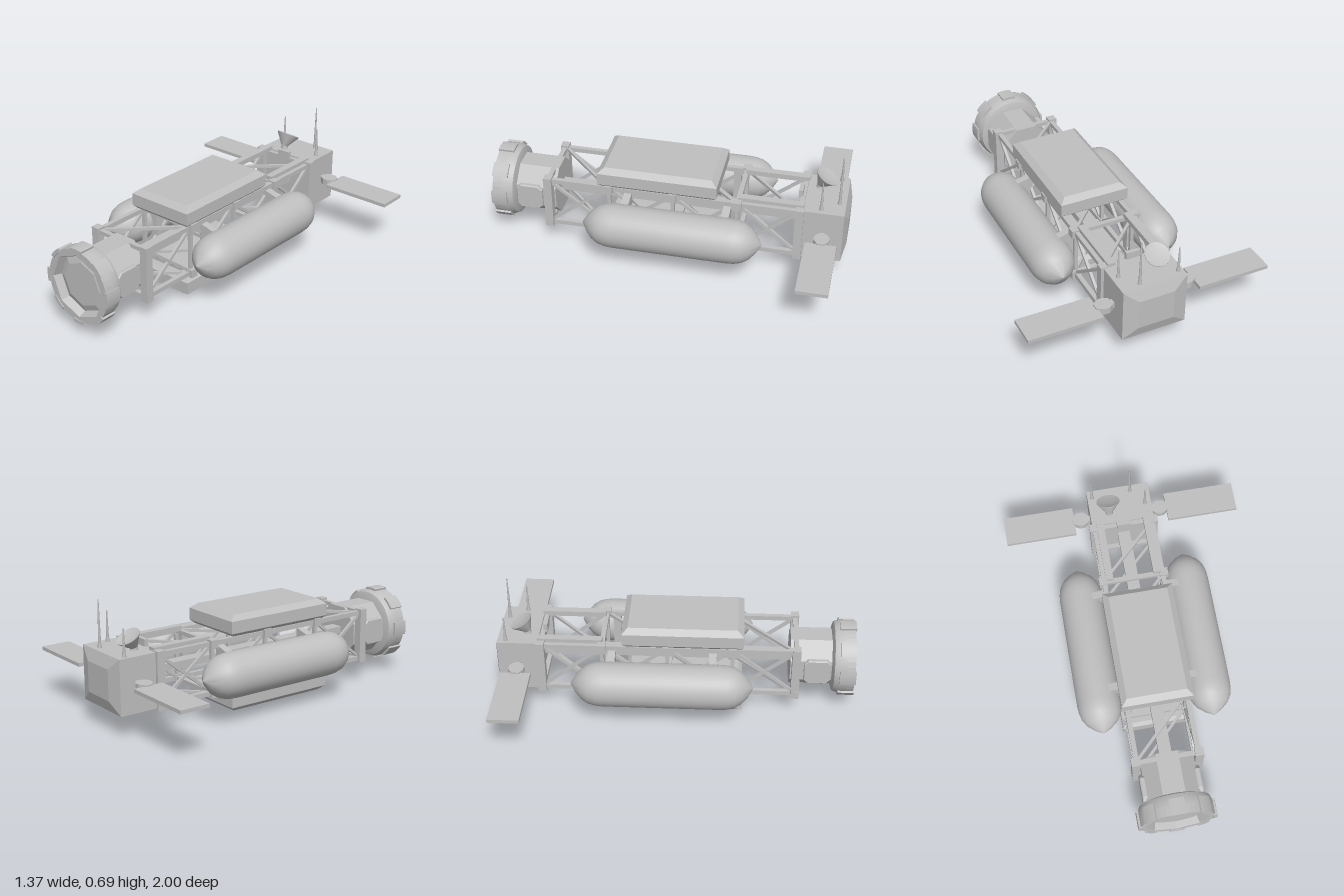
import * as THREE from 'three';
import { toCreasedNormals } from 'three/addons/utils/BufferGeometryUtils.js';
import { ConvexGeometry } from 'three/addons/geometries/ConvexGeometry.js';

const V = (x, y, z) => new THREE.Vector3(x, y, z);
const CY = 0.278; // height of the long axis

export function createModel() {
  const root = new THREE.Group();
  root.name = 'spacecraft';
  const hull = new THREE.MeshStandardMaterial({ color: 0xbfbfbf });
  hull.name = 'hull grey';

  const add = (name, geo, x = 0, y = 0, z = 0) => {
    const m = new THREE.Mesh(geo, hull);
    m.name = name;
    m.position.set(x, y, z);
    root.add(m);
    return m;
  };
  const box = (name, w, h, d, x, y, z) => add(name, new THREE.BoxGeometry(w, h, d), x, y, z);
  // square bar between two points
  const bar = (name, a, b, t) => {
    const m = add(name, new THREE.BoxGeometry(t, t, a.distanceTo(b)));
    m.position.copy(a).add(b).multiplyScalar(0.5);
    m.lookAt(b);
  };
  // lathe around the z axis; profile is [radius, z]
  const latheZ = (profile, n, start = 0, crease = 0.5) => toCreasedNormals(
    new THREE.LatheGeometry(profile.map(p => new THREE.Vector2(...p)), n, start).rotateX(Math.PI / 2), crease);
  // convex solid from rectangles [halfX, y, zMin, zMax]
  const stack = levels => new ConvexGeometry(levels.flatMap(([w, y, a, b]) =>
    [V(-w, y, a), V(w, y, a), V(w, y, b), V(-w, y, b)]));

  // docking ring
  add('dockingRingBody', latheZ([[0, 0.87], [0.16, 0.87], [0.195, 0.882], [0.207, 0.915], [0.207, 0.95]], 40), 0, CY);
  const rim = new THREE.Shape().absarc(0, 0, 0.207, 0, Math.PI * 2);
  const hole = new THREE.Path();
  for (let i = 0; i < 8; i++) {
    const a = -i * Math.PI / 4;
    hole[i ? 'lineTo' : 'moveTo'](0.18 * Math.cos(a), 0.18 * Math.sin(a));
  }
  hole.closePath();
  rim.holes.push(hole);
  add('dockingRingRim', new THREE.ExtrudeGeometry(rim, { depth: 0.045, bevelEnabled: false, curveSegments: 20 }), 0, CY, 0.95);
  add('dockingHatch', latheZ([[0.18, 0.995], [0.162, 0.952], [0.125, 0.965], [0, 0.965]], 8, 0, 0.1), 0, CY);
  for (let i = 0; i < 8; i++) {
    const a = i * Math.PI / 4, s = new THREE.Shape();
    s.absarc(0, 0, 0.218, a - 0.19, a + 0.19, false);
    s.absarc(0, 0, 0.198, a + 0.19, a - 0.19, true);
    add('dockingClamp', new THREE.ExtrudeGeometry(s, { depth: 0.09, bevelEnabled: false, curveSegments: 4 }), 0, CY, 0.91);
  }

  // octagonal neck with side pads
  add('neck', latheZ([[0, 0.64], [0.16, 0.64], [0.16, 0.88], [0, 0.88]], 8, Math.PI / 8, 0.1), 0, CY);
  const pad = new THREE.Shape();
  const pw = 0.07, pc = 0.02;
  pad.setFromPoints([[-pw, -pw + pc], [-pw + pc, -pw], [pw - pc, -pw], [pw, -pw + pc],
    [pw, pw - pc], [pw - pc, pw], [-pw + pc, pw], [-pw, pw - pc]].map(p => new THREE.Vector2(...p)));
  for (const s of [-1, 1]) {
    const m = add('neckPad', new THREE.ExtrudeGeometry(pad,
      { depth: 0.02, bevelThickness: 0.006, bevelSize: 0.005, bevelSegments: 1 }), s * 0.141, CY, 0.79);
    m.rotation.y = s * Math.PI / 2;
  }

  // truss: rails, frames, corner collars and diagonals
  const frames = [0.67, 0.32, -0.04, -0.4, -0.74];
  const TX = 0.168, yLo = 0.14, yHi = 0.415;
  box('spine', 0.07, 0.04, 1.4, 0, 0.285, -0.05);
  for (const s of [-1, 1]) {
    for (const y of [yLo, yHi]) box('trussRail', 0.026, 0.026, 1.44, s * TX, y, -0.035);
    frames.forEach((z, i) => {
      const end = i === 0 || i === 4;
      const t = end ? 0.046 : 0.02;
      box('framePost', t, 0.3, t, s * (end ? 0.174 : TX), CY, z);
      for (const y of [yLo, yHi]) box('railCollar', 0.048, 0.046, 0.046, s * 0.174, y, z);
      if (i === 4) return;
      const z2 = frames[i + 1];
      bar('sideBrace', V(s * TX, yLo, z), V(s * TX, yHi, z2), 0.016);
      bar('sideBrace', V(s * TX, yHi, z), V(s * TX, yLo, z2), 0.016);
    });
    box('upperGuide', 0.042, 0.03, 0.36, s * 0.136, 0.435, -0.58);
  }
  for (const y of [yLo, yHi]) frames.forEach((z, i) => {
    box('crossbar', 0.34, 0.022, 0.026, 0, y, z);
    if (i < 4) bar('deckBrace', V(-0.155, y, z - 0.02), V(0.155, y, frames[i + 1] + 0.02), 0.016);
  });
  box('rearBracket', 0.08, 0.05, 0.022, 0, 0.44, -0.727);

  // chamfered cargo pods above and below
  const pod = [[0.165, 0.058, -0.255, 0.345], [0.198, 0.03, -0.288, 0.38],
    [0.198, -0.038, -0.288, 0.38], [0.178, -0.058, -0.265, 0.36]];
  add('upperCargoPod', stack(pod), 0, 0.488, 0);
  add('lowerCargoPod', stack(pod.map(([w, y, a, b]) => [w, -y, a, b])), 0, 0.063, 0);

  // side tanks with pointed caps and mounts
  const cap = [[0, 0], [0.05, 0.03], [0.088, 0.064], [0.11, 0.1], [0.12, 0.14], [0.123, 0.18]];
  const tank = [...cap.map(([r, d]) => [r, -0.562 + d]), ...cap.map(([r, d]) => [r, 0.437 - d]).reverse()];
  for (const s of [-1, 1]) {
    add('sideTank', latheZ(tank, 36, 0, 0.6), s * 0.312, 0.27);
    for (const z of [-0.345, 0.212]) {
      const pts = [];
      for (const dz of [-0.021, 0.021]) for (const [x, y] of [[0.16, 0.4], [0.16, 0.145], [0.255, 0.168], [0.255, 0.375]])
        pts.push(V(s * x, y, z + dz));
      add('tankMount', new ConvexGeometry(pts));
    }
  }

  // rear module with bevelled back plate
  const rear = [];
  for (const [w, h, z] of [[0.181, 0.151, -0.755], [0.181, 0.151, -0.978], [0.1, 0.085, -1]])
    for (const sx of [-1, 1]) for (const sy of [-1, 1]) rear.push(V(sx * w, 0.281 + sy * h, z));
  add('rearModule', new ConvexGeometry(rear));

  // solar panels on pivots
  for (const s of [-1, 1]) {
    box('solarPanel', 0.41, 0.02, 0.17, s * 0.48, 0.29, -0.871);
    box('panelAxle', 0.04, 0.03, 0.035, s * 0.19, 0.29, -0.871);
    const yoke = [];
    for (const [x, w] of [[0.195, 0.025], [0.22, 0.042], [0.25, 0.042], [0.285, 0.02]])
      for (const a of [-1, 1]) for (const b of [-1, 1]) yoke.push(V(s * x, 0.29 + a * 0.018, -0.871 + b * w));
    add('panelYoke', new ConvexGeometry(yoke));
  }

  // antennas
  for (const [x, z, top] of [[0.071, -0.942, 0.69], [0.145, -0.85, 0.602], [-0.153, -0.933, 0.582]]) {
    const h = top - 0.42;
    add('antenna', new THREE.CylinderGeometry(0.003, 0.009, h, 8), x, 0.42 + h / 2, z);
    add('antennaBase', new THREE.CylinderGeometry(0.009, 0.013, 0.03, 8), x, 0.44, z);
  }

  // tilted dish
  const dish = add('dish', toCreasedNormals(new THREE.LatheGeometry(
    [[0, -0.075], [0.018, -0.075], [0.067, -0.004], [0.067, 0], [0, -0.014]].map(p => new THREE.Vector2(...p)), 24), 0.5),
    -0.07, 0.51, -0.857);
  dish.rotation.x = -0.54;
  add('dishMount', new THREE.CylinderGeometry(0.018, 0.024, 0.04, 10), -0.07, 0.44, -0.822);

  return root;
}
